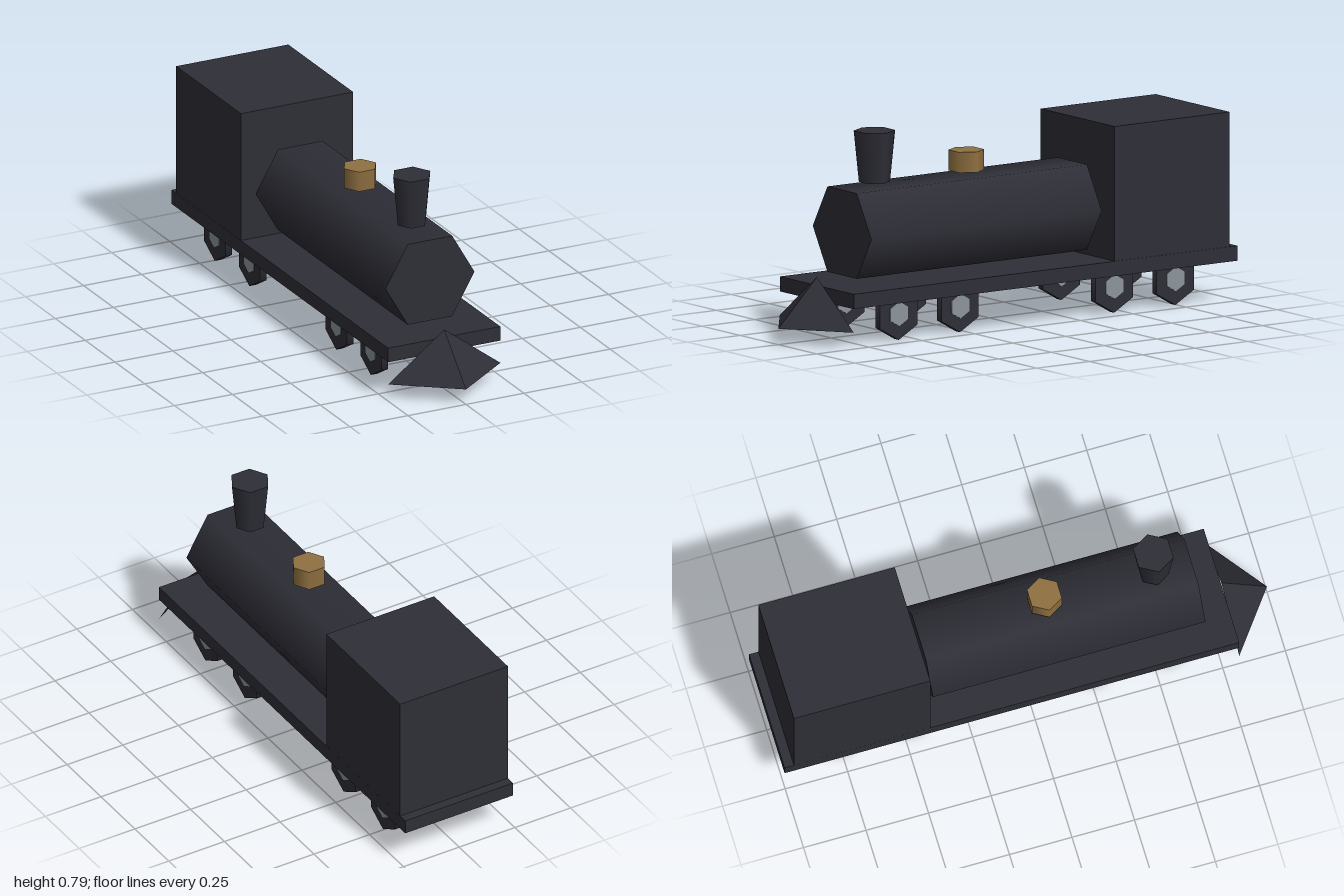
import * as THREE from 'three';

export function createModel() {
  const group = new THREE.Group();
  const material = (name, color, side = THREE.FrontSide) => {
    const m = new THREE.MeshStandardMaterial({ color, side });
    m.name = name;
    return m;
  };
  // double sided so that the open plough shows its inside
  const iron = material('dark iron', 0x2e2e37, THREE.DoubleSide);
  const brass = material('brass', 0x8f7040);
  const steel = material('pale steel', 0x8b949b);

  const add = (name, geometry, mat, x, y, z, parent = group) => {
    const mesh = new THREE.Mesh(geometry, mat);
    mesh.name = name;
    mesh.position.set(x, y, z);
    parent.add(mesh);
    return mesh;
  };
  // six-sided smooth-shaded drum with its corners on the x axis
  const drum = (top, bottom, height) =>
    new THREE.CylinderGeometry(top, bottom, height, 6).rotateY(Math.PI / 6);

  // deck and cab
  add('deck', new THREE.BoxGeometry(0.484, 0.058, 1.818), iron, 0, 0.183, -0.091);
  add('cab', new THREE.BoxGeometry(0.484, 0.525, 0.545), iron, 0, 0.475, -0.69);

  // boiler with its chimney and dome
  add('boiler', drum(0.192, 0.192, 1.09).rotateX(Math.PI / 2), iron, 0, 0.405, 0.153);
  add('chimney', drum(0.08, 0.06, 0.2), iron, 0, 0.688, 0.545);
  add('steamDome', drum(0.069, 0.069, 0.08), brass, 0, 0.628, 0.11);

  // wheels with hubs that stand out on both sides
  const wheelGeometry = drum(0.102, 0.102, 0.029).rotateZ(Math.PI / 2);
  const hubGeometry = drum(0.048, 0.048, 0.036).rotateZ(Math.PI / 2);
  for (const side of [-1, 1]) {
    for (const z of [0.565, 0.275, -0.455, -0.745]) {
      const wheel = new THREE.Group();
      wheel.name = 'wheel';
      wheel.position.set(side * 0.1725, 0.102, z);
      add('wheelRim', wheelGeometry, iron, 0, 0, 0, wheel);
      add('wheelHub', hubGeometry, steel, 0, 0, 0, wheel);
      group.add(wheel);
    }
  }

  // plough: two sloping faces meeting in a ridge, open behind and below
  const plough = new THREE.BufferGeometry();
  plough.setAttribute('position', new THREE.Float32BufferAttribute([
    0.242, 0, 0, 0, 0.182, 0, 0, 0, 0.182,
    -0.242, 0, 0, 0, 0, 0.182, 0, 0.182, 0,
  ], 3));
  plough.computeVertexNormals();
  add('plough', plough, iron, 0, 0.062, 0.818);

  return group;
}
